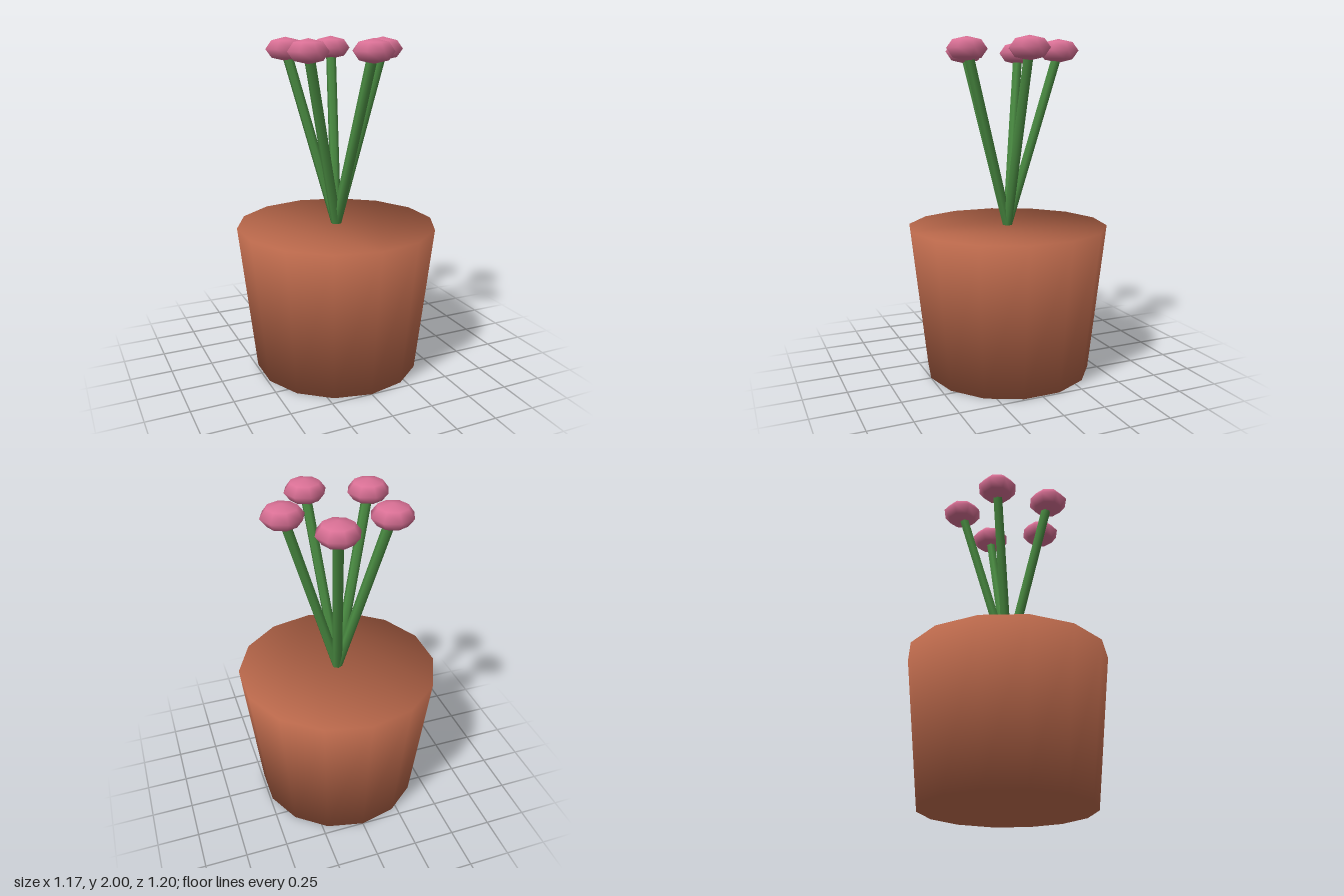
import * as THREE from 'three';

function material(name, color) {
  const m = new THREE.MeshStandardMaterial({ color });
  m.name = name;
  return m;
}

// Solid tapered pot whose smooth normals run over the rim and base edge
function potGeometry(rBottom, rTop, height, sides) {
  const position = [], normal = [], index = [];
  for (const [r, y, ny] of [[rBottom, 0, -0.66], [rTop, height, 0.66]]) {
    for (let i = 0; i < sides; i++) {
      const a = (i / sides) * Math.PI * 2;
      position.push(r * Math.sin(a), y, r * Math.cos(a));
      normal.push(0.75 * Math.sin(a), ny, 0.75 * Math.cos(a));
    }
  }
  for (let i = 0; i < sides; i++) {
    const j = (i + 1) % sides;
    index.push(i, j, sides + j, i, sides + j, sides + i); // wall
    if (i > 0 && j > 0) {
      index.push(0, j, i); // base
      index.push(sides, sides + i, sides + j); // top
    }
  }
  const g = new THREE.BufferGeometry();
  g.setAttribute('position', new THREE.Float32BufferAttribute(position, 3));
  g.setAttribute('normal', new THREE.Float32BufferAttribute(normal, 3));
  g.setIndex(index);
  return g;
}

export function createModel() {
  const model = new THREE.Group();
  model.name = 'pottedFlowers';
  const terracotta = material('terracotta', 0xb8674a);
  const earth = material('earth', 0x3b2a20);
  const green = material('stemGreen', 0x4a8c42);
  const pink = material('petalPink', 0xd97095);

  const add = (parent, name, geometry, mat) => {
    const mesh = new THREE.Mesh(geometry, mat);
    mesh.name = name;
    parent.add(mesh);
    return mesh;
  };

  add(model, 'pot', potGeometry(0.5, 0.6, 0.9, 14), terracotta);

  // Soil sits just under the top face
  add(model, 'soil', new THREE.CylinderGeometry(0.42, 0.42, 0.04, 12), earth).position.y = 0.875;

  // Five flowers fan out from the middle of the pot
  const base = new THREE.Vector3(0, 0.9, 0);
  const up = new THREE.Vector3(0, 1, 0);
  const bloomGeometry = new THREE.SphereGeometry(0.122, 8, 4).scale(1, 0.56, 1);
  for (let i = 0; i < 5; i++) {
    const a = (i / 5) * Math.PI * 2;
    const tip = new THREE.Vector3(0.3 * Math.cos(a), 1.932, 0.3 * Math.sin(a));
    const along = tip.clone().sub(base);
    const flower = new THREE.Group();
    flower.name = 'flower';
    model.add(flower);

    const stem = add(flower, 'stem', new THREE.CylinderGeometry(0.03, 0.03, along.length(), 6), green);
    stem.position.copy(base).addScaledVector(along, 0.5);
    stem.quaternion.setFromUnitVectors(up, along.normalize());

    add(flower, 'bloom', bloomGeometry, pink).position.copy(tip);
  }
  return model;
}
